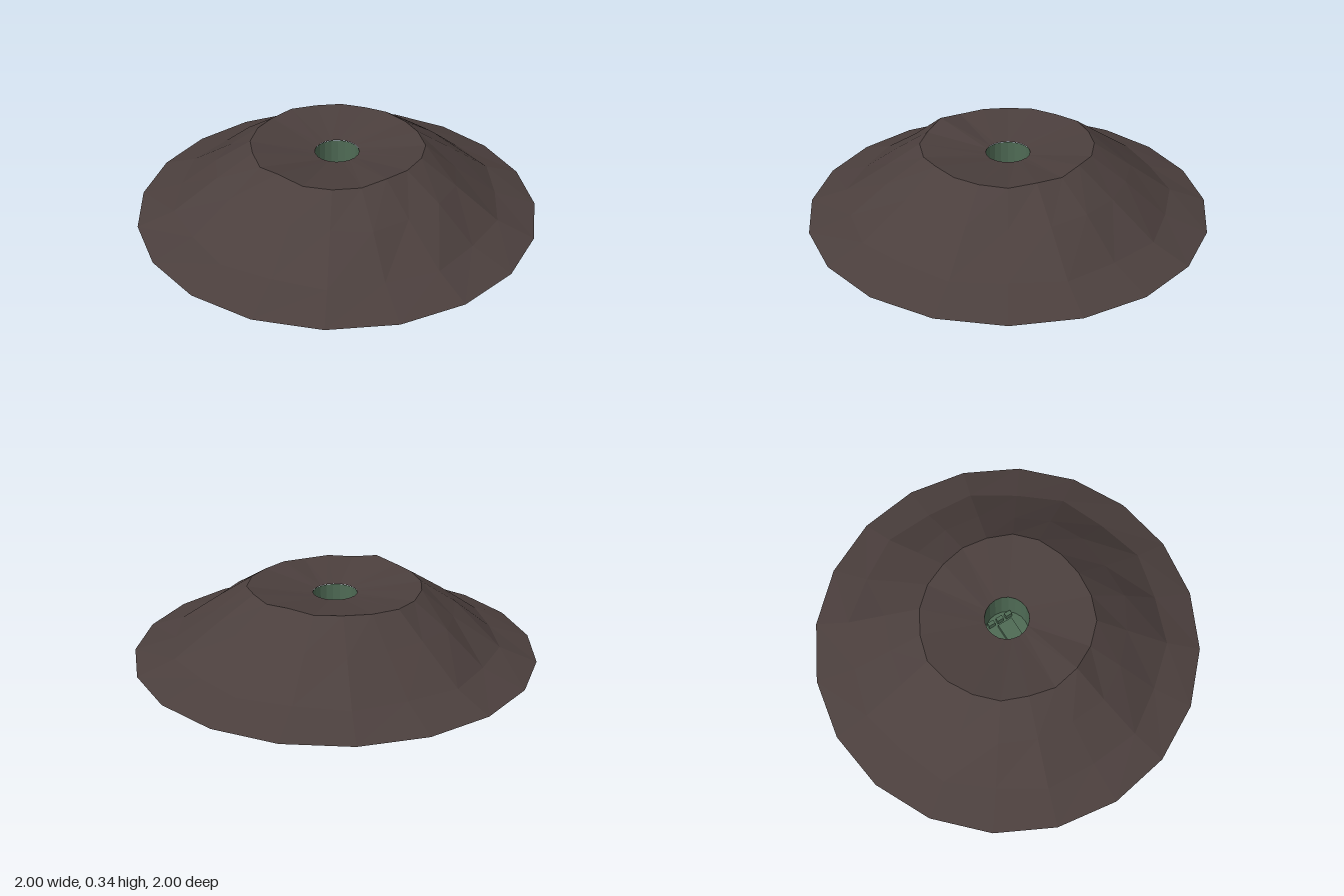
import * as THREE from 'three';

const SIDES = 20;

// Joins consecutive rings of points into faceted quads facing up and out
function loft(rings) {
  const pos = [];
  for (let r = 0; r < rings.length - 1; r++) {
    const lo = rings[r], up = rings[r + 1];
    for (let k = 0; k < SIDES; k++) {
      const n = (k + 1) % SIDES;
      pos.push(...lo[k], ...up[k], ...lo[n], ...lo[n], ...up[k], ...up[n]);
    }
  }
  const g = new THREE.BufferGeometry();
  g.setAttribute('position', new THREE.Float32BufferAttribute(pos, 3));
  g.computeVertexNormals();
  return g;
}

// One ring; radius and height may vary with the corner number
function ring(radius, height) {
  return Array.from({ length: SIDES }, (_, k) => {
    const a = (k / SIDES) * Math.PI * 2, r = radius(k);
    return [Math.cos(a) * r, height(k), Math.sin(a) * r];
  });
}

export function createModel() {
  const earth = new THREE.MeshStandardMaterial({ color: 0x4b3f3d, flatShading: true });
  earth.name = 'dark earth';
  const green = new THREE.MeshStandardMaterial({ color: 0x4f6b55, flatShading: true, side: THREE.DoubleSide });
  green.name = 'dull green';

  const model = new THREE.Group();
  model.name = 'craterMound';
  const add = (name, geometry, material, x = 0, y = 0, z = 0) => {
    const mesh = new THREE.Mesh(geometry, material);
    mesh.name = name;
    mesh.position.set(x, y, z);
    model.add(mesh);
    return mesh;
  };

  // Uneven crater rim
  const rimR = [.42, .42, .435, .43, .42, .415, .425, .435, .43, .43,
    .43, .42, .43, .43, .435, .445, .43, .425, .42, .41];
  const rimY = [.32, .325, .318, .322, .32, .325, .315, .32, .318, .342,
    .32, .325, .318, .322, .316, .32, .32, .324, .32, .33];
  const foot = ring(() => 1, () => 0);
  const skirt = ring(k => (k % 2 ? .82 : .795), () => .06);
  const slope = ring(k => .6 + .012 * Math.sin(k * 2.3), k => .205 + .006 * Math.cos(k * 1.7));
  const rim = ring(k => rimR[k], k => rimY[k]);
  const mouth = ring(() => .11, () => .276);

  // Outer slopes, shallow crater and flat underside
  add('moundSlopes', loft([foot, skirt, slope, rim]), earth);
  add('craterBowl', loft([rim, mouth]), earth);
  const base = new THREE.CircleGeometry(1, SIDES);
  base.rotateX(Math.PI / 2);
  add('underside', base, earth);

  // Green shaft below the mouth
  add('shaftWall', new THREE.CylinderGeometry(.111, .111, .2, SIDES, 1, true), green, 0, .174, 0);
  const floor = new THREE.CircleGeometry(.111, SIDES);
  floor.rotateX(-Math.PI / 2);
  add('shaftFloor', floor, green, 0, .075, 0);

  // Blocks lying at the bottom of the shaft
  add('shaftBlock', new THREE.BoxGeometry(.13, .03, .08), green, -.02, .09, .015);
  for (const z of [-.05, 0, .05]) {
    add('shaftRib', new THREE.BoxGeometry(.02, .04, .035), green, .07, .095, z);
  }
  return model;
}
